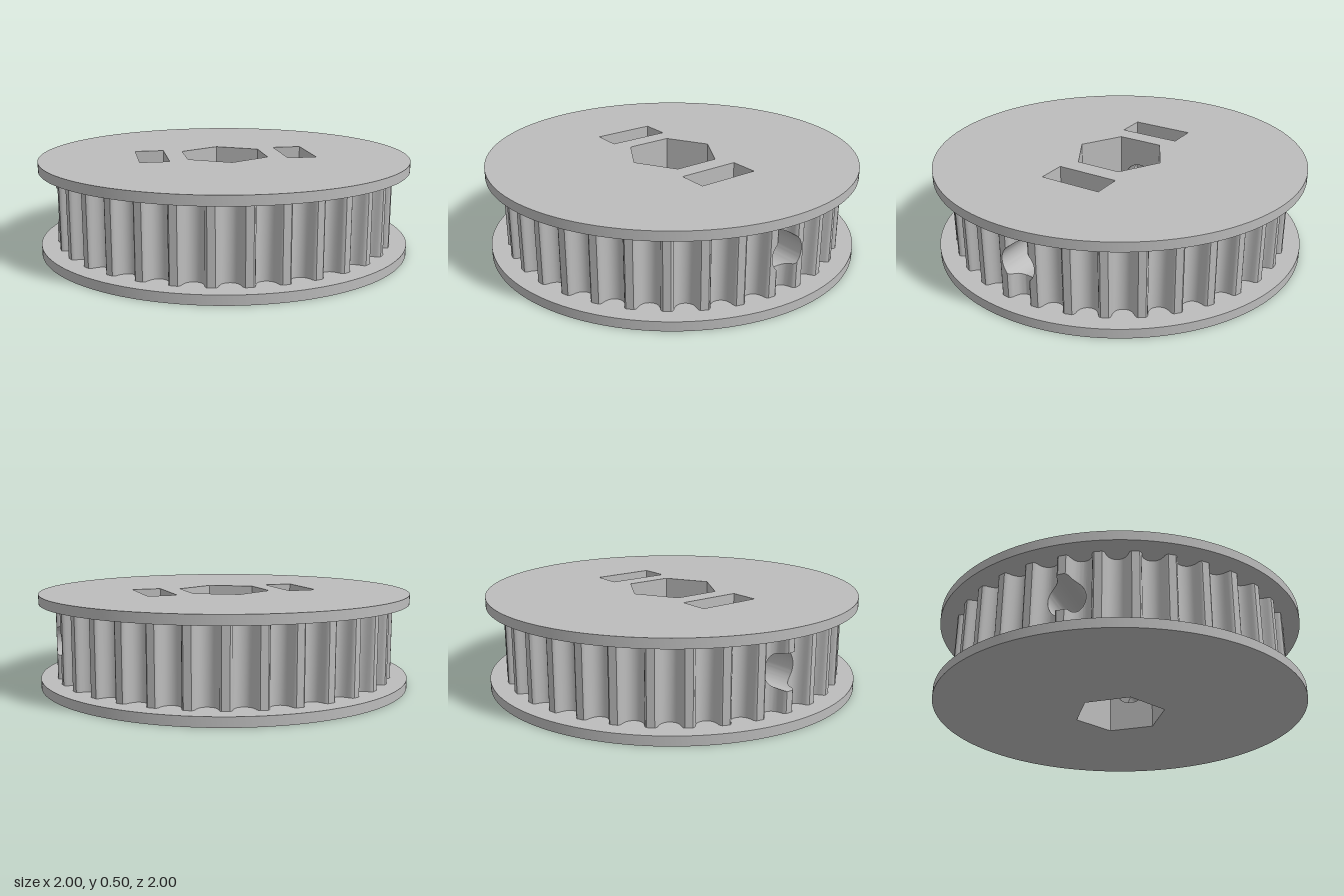
import * as THREE from 'three';
import { toCreasedNormals } from 'three/addons/utils/BufferGeometryUtils.js';

const Y0 = 0.05, Y1 = 0.45, TOP = 0.5;       // core bottom, core top, overall height
const HOLE_Y = 0.255, HOLE_R = 0.095;        // cross hole along x
const TEETH = 33, RIM = 0.912;
const NUT_IN = 0.318, NUT_OUT = 0.475, NUT_Z = 0.17;
const BORE_R = 0.25, BORE_X = BORE_R * Math.cos(Math.PI / 6);

const holeZ = Array.from({ length: 33 }, (_, i) => HOLE_R * Math.sin((i / 32 - 0.5) * Math.PI));
const holeHalf = z => Math.sqrt(Math.max(0, HOLE_R * HOLE_R - z * z));
const nutFloor = z => 0.06 + Math.abs(z) / NUT_Z * 0.098;

function quad(out, a, b, c, d, flip = false) {
  if (flip) [b, d] = [d, b];
  out.push(...a, ...b, ...c, ...a, ...c, ...d);
}

function finish(positions) {
  const g = new THREE.BufferGeometry();
  g.setAttribute('position', new THREE.Float32BufferAttribute(positions, 3));
  return toCreasedNormals(g, 0.6);
}

// Split the edges of a closed [x, z] loop where they cross the hole's z steps
function refine(loop) {
  const res = [];
  loop.forEach(([ax, az], i) => {
    const [bx, bz] = loop[(i + 1) % loop.length];
    res.push([ax, az]);
    holeZ.map(z => [(z - az) / (bz - az), z])
      .filter(([t]) => t > 1e-5 && t < 1 - 1e-5)
      .sort((p, q) => p[0] - q[0])
      .forEach(([t, z]) => res.push([ax + (bx - ax) * t, z]));
  });
  return res;
}

// Upright wall round a refined loop, left open where the cross hole passes
function wall(out, loop, bottom = () => Y0) {
  loop.forEach(([ax, az], i) => {
    const [bx, bz] = loop[(i + 1) % loop.length];
    const strip = (a0, b0, a1, b1) =>
      quad(out, [ax, a0, az], [bx, b0, bz], [bx, b1, bz], [ax, a1, az]);
    const ha = holeHalf(az), hb = holeHalf(bz);
    if (ha + hb < 1e-6) return strip(bottom(az), bottom(bz), Y1, Y1);
    strip(bottom(az), bottom(bz), HOLE_Y - ha, HOLE_Y - hb);
    strip(HOLE_Y + ha, HOLE_Y + hb, Y1, Y1);
  });
}

// Lining of the cross hole from a flat face at x = inner to a curve of [x, z]
function holeLining(out, inner, curve, side) {
  for (let i = 0; i + 1 < curve.length; i++) {
    const [xa, za] = curve[i], [xb, zb] = curve[i + 1];
    for (const v of [1, -1]) {
      const ya = HOLE_Y + v * holeHalf(za), yb = HOLE_Y + v * holeHalf(zb);
      quad(out, [inner, ya, za], [xa, ya, za], [xb, yb, zb], [inner, yb, zb], v * side < 0);
    }
  }
}

// Round-bottomed belt grooves: sideways distance from groove centre, depth
function toothLoop() {
  const half = [[0.068, 0], [0.061, 0.005], [0.056, 0.016], [0.052, 0.034],
    [0.043, 0.053], [0.031, 0.065], [0.016, 0.072]];
  const groove = [...half.map(([w, d]) => [-w, d]), [0, 0.074], ...half.slice().reverse()];
  const loop = [];
  for (let i = 0; i < TEETH; i++) {
    for (const [w, d] of groove) {
      const a = i / TEETH * Math.PI * 2 + w / RIM, r = RIM - d;
      loop.push([r * Math.cos(a), -r * Math.sin(a)]);
    }
  }
  return loop;
}

const hexLoop = () => Array.from({ length: 6 }, (_, i) => {
  const a = Math.PI / 2 - i * Math.PI / 3;
  return [BORE_R * Math.cos(a), -BORE_R * Math.sin(a)];
});

const nutLoop = side => {
  const x0 = side > 0 ? NUT_IN : -NUT_OUT, x1 = side > 0 ? NUT_OUT : -NUT_IN;
  return [[x0, NUT_Z], [x0, -NUT_Z], [x1, -NUT_Z], [x1, NUT_Z]];
};

function flangeGeometry(y, height, openings) {
  const shape = new THREE.Shape().absarc(0, 0, 1, 0, Math.PI * 2);
  for (const loop of openings) {
    shape.holes.push(new THREE.Path(loop.map(([x, z]) => new THREE.Vector2(x, -z))));
  }
  const g = new THREE.ExtrudeGeometry(shape, { depth: height, bevelEnabled: false, curveSegments: 128 });
  g.rotateX(-Math.PI / 2).translate(0, y, 0);
  return toCreasedNormals(g, 0.6);
}

export function createModel() {
  const group = new THREE.Group();
  group.name = 'beltPulley';
  const grey = new THREE.MeshStandardMaterial({ color: 0xbcbcbc });
  grey.name = 'plain grey';
  const add = (name, geometry) => {
    const mesh = new THREE.Mesh(geometry, grey);
    mesh.name = name;
    group.add(mesh);
  };

  // Flanges; only the upper one is open over the nut pockets
  add('lowerFlange', flangeGeometry(0, Y0, [hexLoop()]));
  add('upperFlange', flangeGeometry(Y1, TOP - Y1, [hexLoop(), nutLoop(1), nutLoop(-1)]));

  // Toothed rim
  const rimLoop = refine(toothLoop());
  const rim = [];
  wall(rim, rimLoop);
  add('toothedRim', finish(rim));

  // Hexagonal bore
  const bore = [];
  wall(bore, refine(hexLoop()));
  add('hexBore', finish(bore));

  for (const side of [1, -1]) {
    const label = side > 0 ? 'left' : 'right';

    // Nut pocket with a V-shaped floor
    const pocket = [], loop = nutLoop(side);
    const x0 = loop[0][0], x1 = loop[2][0];
    // a corner at z = 0 keeps the end walls flush with the V
    wall(pocket, refine(loop), nutFloor);
    for (const s of [1, -1]) {
      quad(pocket, [x0, nutFloor(0), 0], [x0, nutFloor(NUT_Z), s * NUT_Z],
        [x1, nutFloor(NUT_Z), s * NUT_Z], [x1, nutFloor(0), 0], s < 0);
    }
    add(label + 'NutPocket', finish(pocket));

    // Screw hole, from bore to pocket and from pocket to rim
    const lining = [];
    holeLining(lining, side * BORE_X, holeZ.map(z => [side * NUT_IN, z]), side);
    const outer = rimLoop.filter(([x, z]) => x * side > 0 && Math.abs(z) < HOLE_R + 1e-6)
      .sort((p, q) => p[1] - q[1]);
    holeLining(lining, side * NUT_OUT, outer, side);
    add(label + 'ScrewHole', finish(lining));
  }
  return group;
}
